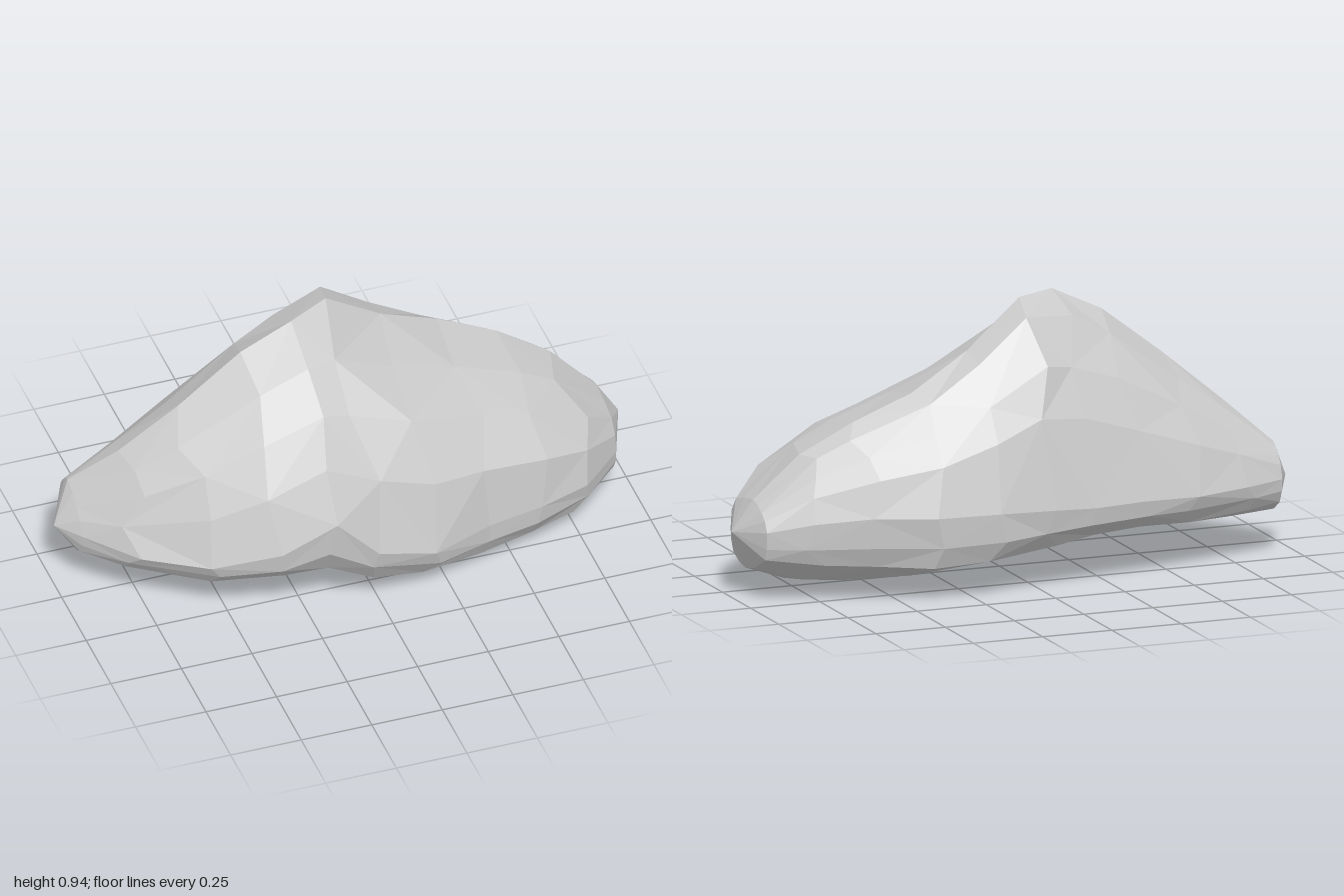
import * as THREE from 'three';

// Cross-sections along the rock:
// x, yBottom, yTop, zBack, zFront, zRidge, zKeel, yFront, yBack
const SECTIONS = [
  [-1, 0.25, 0.25, -0.08, -0.08, -0.08, -0.08, 0.25, 0.25],
  [-0.93, 0.14, 0.385, -0.225, 0.01, -0.14, -0.10, 0.25, 0.27],
  [-0.78, 0.125, 0.525, -0.29, 0.18, -0.06, -0.05, 0.24, 0.27],
  [-0.58, 0.115, 0.695, -0.355, 0.32, -0.02, 0.00, 0.25, 0.27],
  [-0.36, 0.11, 0.865, -0.39, 0.415, -0.02, 0.05, 0.32, 0.28],
  [-0.18, 0.10, 0.95, -0.42, 0.455, -0.02, 0.10, 0.43, 0.28],
  [-0.03, 0.06, 0.95, -0.44, 0.45, -0.10, 0.10, 0.27, 0.29],
  [0.18, 0.025, 0.795, -0.46, 0.425, -0.15, 0.10, 0.20, 0.30],
  [0.40, 0.005, 0.68, -0.445, 0.34, -0.20, 0.09, 0.20, 0.30],
  [0.60, 0.012, 0.595, -0.365, 0.30, -0.18, 0.05, 0.20, 0.30],
  [0.78, 0.035, 0.49, -0.29, 0.24, -0.14, 0.00, 0.20, 0.28],
  [0.93, 0.09, 0.34, -0.225, 0.10, -0.10, -0.03, 0.20, 0.25],
  [1, 0.23, 0.23, -0.08, -0.08, -0.08, -0.08, 0.23, 0.23],
];

// Outline of each quadrant as [outward, vertical] shares of its size, in ring order;
// "plain" turns into "bulged" by the amount given for x
const QUADRANTS = [
  {
    upper: true, front: true,
    plain: [[1, 0], [0.83, 0.35], [0.6, 0.62], [0.33, 0.83]],
    bulged: [[1, 0], [0.95, 0.45], [0.77, 0.78], [0.4, 0.92]],
    amount: (x) => THREE.MathUtils.smoothstep(x, -0.25, 0.5),
  },
  {
    upper: true, front: false,
    plain: [[0, 1], [0.32, 0.87], [0.62, 0.65], [0.84, 0.4]],
    bulged: [[0, 1], [0.34, 0.97], [0.66, 0.72], [0.82, 0.48]],
    amount: (x) => Math.max(0, 1 - Math.abs(x - 0.02) / 0.4),
  },
  {
    upper: false, front: false,
    plain: [[1, 0], [0.97, 0.32], [0.82, 0.63], [0.4, 0.9]],
    bulged: [[1, 0], [0.98, 0.36], [0.92, 0.6], [0.42, 0.9]],
    amount: (x) => THREE.MathUtils.smoothstep(x, -0.3, 0.2),
  },
  {
    upper: false, front: true,
    plain: [[0, 1], [0.45, 0.9], [0.8, 0.7], [0.96, 0.36]],
    bulged: [[0, 1], [0.45, 0.9], [0.8, 0.72], [0.97, 0.36]],
    amount: (x) => THREE.MathUtils.smoothstep(x, -0.3, 0.2),
  },
];
const SIDES = 16;

function seeded(seed) {
  return () => {
    seed = (seed * 16807) % 2147483647;
    return seed / 2147483647;
  };
}

// Interpolated section at any x
function sectionAt(x) {
  let i = 1;
  while (i < SECTIONS.length - 1 && SECTIONS[i][0] < x) i++;
  const a = SECTIONS[i - 1], b = SECTIONS[i];
  const t = (x - a[0]) / (b[0] - a[0]);
  return a.map((v, k) => v + (b[k] - v) * t);
}

// Point number i of the ring at x
function rockPoint(x, i, scale) {
  const [, yBottom, yTop, zBack, zFront, zRidge, zKeel, yFront, yBack] = sectionAt(x);
  const { upper, front, plain, bulged, amount } = QUADRANTS[Math.floor(i / 4)];
  const [u, v] = plain[i % 4].map((p, k) => scale * THREE.MathUtils.lerp(p, bulged[i % 4][k], amount(x)));
  const zMid = upper ? zRidge : zKeel;
  const ySide = front ? yFront : yBack;
  return new THREE.Vector3(
    x,
    ySide + ((upper ? yTop : yBottom) - ySide) * v,
    zMid + ((front ? zFront : zBack) - zMid) * u
  );
}

function rockGeometry() {
  const random = seeded(41);
  const last = SECTIONS.length - 1;
  const rings = SECTIONS.map(([x], j) => {
    const ring = [];
    for (let i = 0; i < SIDES; i++) {
      // Stagger and chip the vertices between the main contour lines
      const loose = i % 4 !== 0 && j > 1 && j < last - 1;
      const shift = loose ? (random() - 0.5) * 0.08 : 0;
      const scale = loose ? 1 + (random() - 0.5) * 0.03 : 1;
      ring.push(rockPoint(x + shift, i, scale));
    }
    return ring;
  });

  const positions = [];
  const face = (...points) => points.forEach((p) => positions.push(p.x, p.y, p.z));
  for (let j = 0; j < last; j++) {
    for (let i = 0; i < SIDES; i++) {
      const n = (i + 1) % SIDES;
      const a = rings[j][i], b = rings[j + 1][i], c = rings[j + 1][n], d = rings[j][n];
      if (j === 0) face(a, b, c);
      else if (j === last - 1) face(a, b, d);
      else if ((i + j) % 2) {
        face(a, b, c);
        face(a, c, d);
      } else {
        face(a, b, d);
        face(b, c, d);
      }
    }
  }
  const geometry = new THREE.BufferGeometry();
  geometry.setAttribute('position', new THREE.Float32BufferAttribute(positions, 3));
  geometry.computeVertexNormals();
  return geometry;
}

export function createModel() {
  const group = new THREE.Group();
  group.name = 'rock';
  const boulder = new THREE.Mesh(
    rockGeometry(),
    new THREE.MeshStandardMaterial({ color: 0xcccccc, flatShading: true })
  );
  boulder.name = 'boulder';
  group.add(boulder);
  return group;
}
